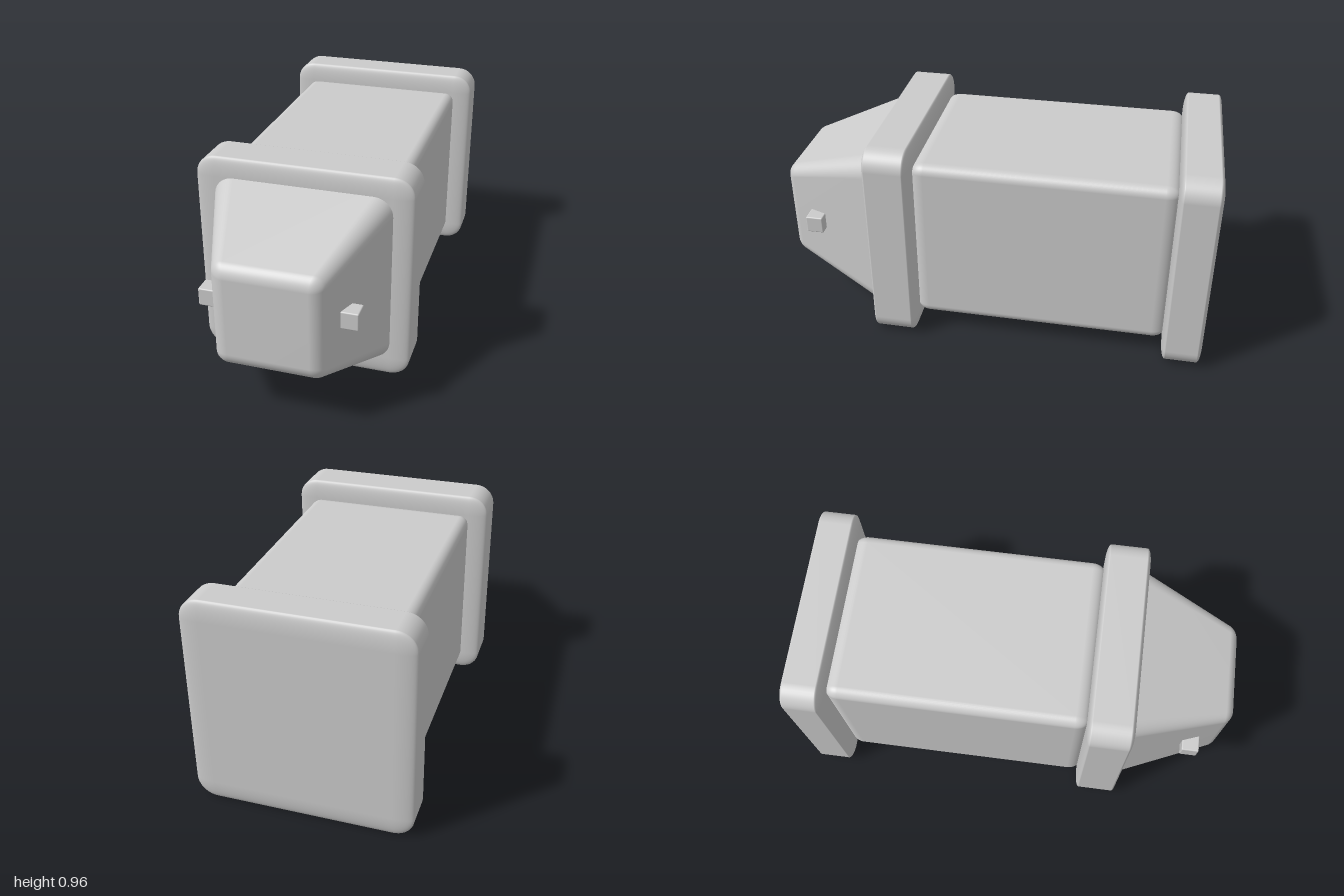
import * as THREE from 'three';
import { RoundedBoxGeometry } from 'three/addons/geometries/RoundedBoxGeometry.js';
import { mergeVertices } from 'three/addons/utils/BufferGeometryUtils.js';

const MID = 0.485; // height of the long axis

export function createModel() {
  const group = new THREE.Group();
  const material = new THREE.MeshStandardMaterial({ color: 0xcccccc });

  const add = (name, geometry, x = 0) => {
    const mesh = new THREE.Mesh(geometry, material);
    mesh.name = name;
    mesh.position.set(x, MID, 0);
    group.add(mesh);
  };

  // Square block from z0 to z1; corner radius r across, edge radius rz along the axis
  const block = (size, z0, z1, r, rz) => {
    const k = r / rz;
    return new RoundedBoxGeometry(size, size, (z1 - z0) * k, 6, r)
      .scale(1, 1, 1 / k)
      .translate(0, 0, (z0 + z1) / 2);
  };

  // Barrel and its two collars
  add('body', block(0.8, -0.825, 0.345, 0.045, 0.06));
  add('frontCollar', block(0.965, 0.335, 0.545, 0.09, 0.022));
  add('backCollar', block(0.965, -1, -0.815, 0.09, 0.022));

  // Nose: a rounded block narrowed towards the front
  const nose = block(0.79, 0.42, 1, 0.085, 0.04);
  const p = nose.attributes.position;
  for (let i = 0; i < p.count; i++) {
    const s = 1 - 0.95 * (p.getZ(i) - 0.545);
    p.setXY(i, p.getX(i) * s, p.getY(i) * s);
  }
  nose.deleteAttribute('normal');
  nose.deleteAttribute('uv');
  const smoothNose = mergeVertices(nose, 1e-4);
  smoothNose.computeVertexNormals();
  add('nose', smoothNose);

  // Small square pegs on the nose sides
  for (const side of [1, -1]) {
    const peg = new RoundedBoxGeometry(0.145, 0.08, 0.08, 3, 0.006).translate(0, 0, 0.84);
    add(side > 0 ? 'leftPeg' : 'rightPeg', peg, side * 0.2725);
  }

  return group;
}
